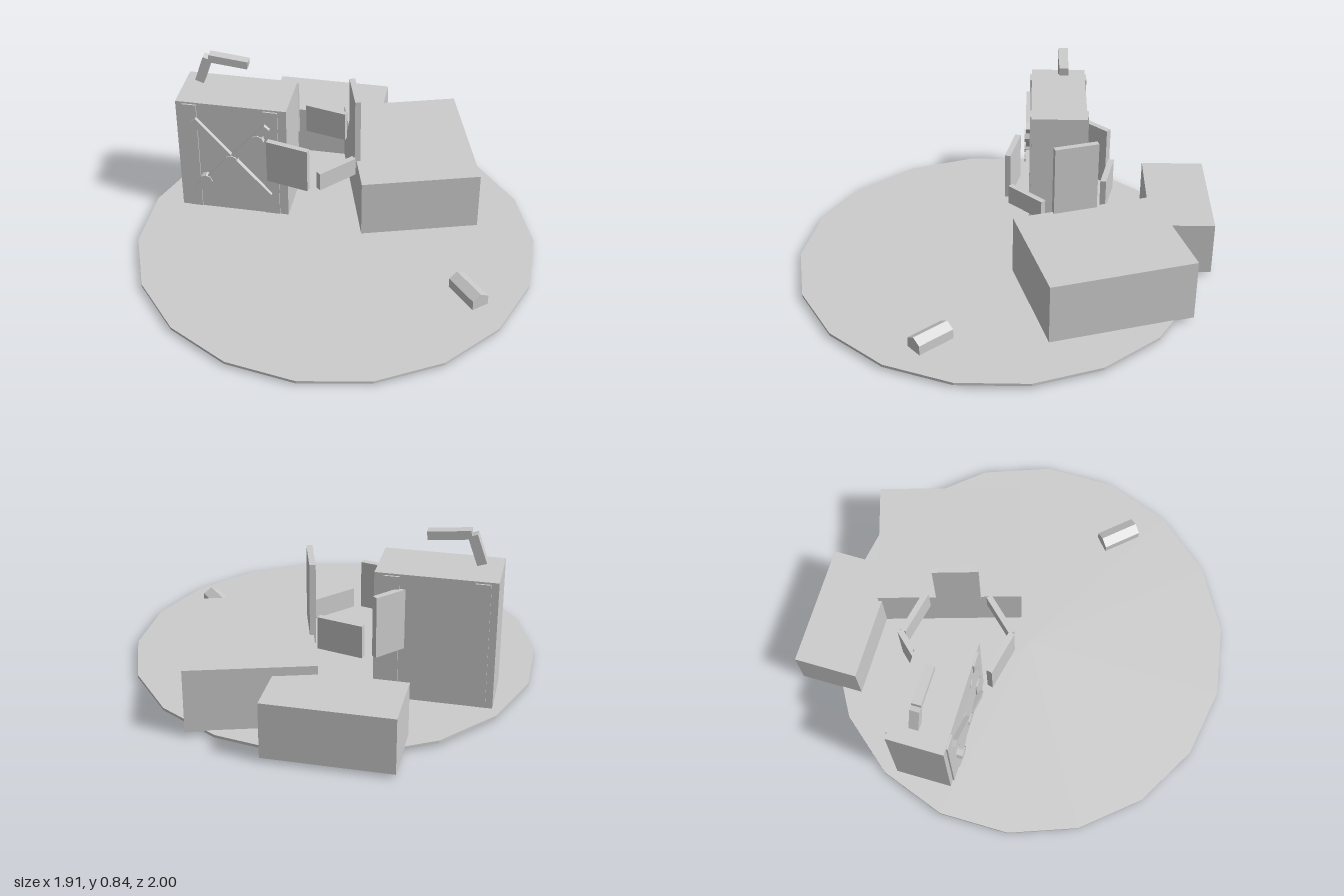
import * as THREE from 'three';

export function createModel() {
  const model = new THREE.Group();
  const grey = new THREE.MeshStandardMaterial({ color: 0xcccccc, flatShading: true });
  grey.name = 'plain grey';

  const add = (name, geometry, x, y, z) => {
    const mesh = new THREE.Mesh(geometry, grey);
    mesh.name = name;
    mesh.position.set(x, y, z);
    model.add(mesh);
    return mesh;
  };
  const box = (name, w, h, d, x, y, z) => add(name, new THREE.BoxGeometry(w, h, d), x, y, z);
  // Square bar running between two points of a plane facing the front
  const bar = (name, x1, y1, x2, y2, width, depth, z) => {
    const mesh = box(name, Math.hypot(x2 - x1, y2 - y1), width, depth, (x1 + x2) / 2, (y1 + y2) / 2, z);
    mesh.rotation.z = Math.atan2(y2 - y1, x2 - x1);
  };

  // Ground disc
  add('groundDisc', new THREE.CylinderGeometry(0.97, 0.97, 0.013, 18), 0, 0.0195, 0.03);

  // Large blocks
  box('backBlock', 0.585, 0.265, 0.305, -0.193, 0.1505, -0.8475);
  box('largeBlock', 0.582, 0.303, 0.697, 0.29, 0.1735, -0.4625).rotation.y = 0.296;

  // Tall cabinet with upright strips showing on its front and back
  box('cabinet', 0.545, 0.624, 0.272, -0.543, 0.333, -0.264);
  for (const x of [-0.748, -0.348]) box('cabinetStrip', 0.07, 0.605, 0.288, x, 0.333, -0.264);

  // Crossed bars and their bolts on the cabinet front
  bar('crossBar', -0.728, 0.557, -0.362, 0.145, 0.035, 0.022, -0.112);
  bar('crossBar', -0.728, 0.145, -0.362, 0.557, 0.035, 0.022, -0.112);
  for (const i of [-1, 0, 1]) {
    const bolt = add('bolt', new THREE.CylinderGeometry(0.033, 0.033, 0.035, 8),
      -0.545 + i * 0.135, 0.342 + i * 0.135, -0.112);
    bolt.rotation.x = Math.PI / 2;
  }

  // Bent handle above the cabinet
  bar('handleNeck', -0.728, 0.682, -0.682, 0.815, 0.045, 0.045, -0.284);
  bar('handleArm', -0.677, 0.817, -0.484, 0.797, 0.04, 0.045, -0.284);

  // Ring of upright panels with differing heights
  const panelTops = [0.515, 0.38, 0.67, 0.44, 0.575];
  panelTops.forEach((top, i) => {
    const a = THREE.MathUtils.degToRad(102.8 - i * 60);
    const panel = box('ringPanel', 0.028, top - 0.285, 0.215,
      -0.195 + 0.234 * Math.cos(a), (top + 0.285) / 2, -0.267 + 0.234 * Math.sin(a));
    panel.rotation.y = -a;
  });

  // Small six-sided log, half sunk in the disc
  const log = add('log', new THREE.CylinderGeometry(0.05, 0.05, 0.19, 6).rotateX(Math.PI / 2), 0.678, 0.05, 0.313);
  log.rotation.y = Math.atan2(0.66, 0.75);

  return model;
}
